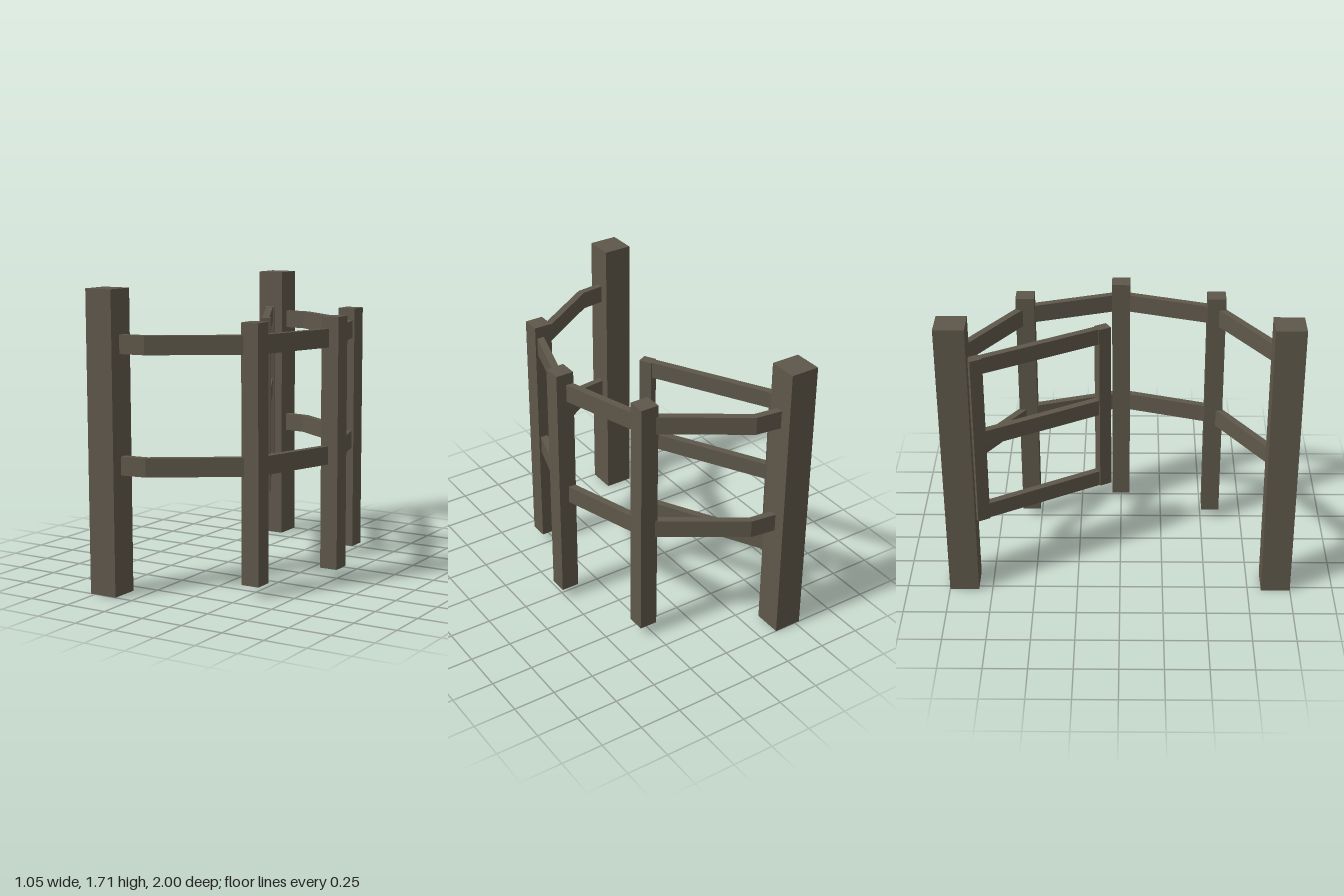
import * as THREE from 'three';

export function createModel() {
  const model = new THREE.Group();
  const wood = new THREE.MeshStandardMaterial({ color: 0x5e574a });
  wood.name = 'weatheredWood';

  const add = (parent, name, geometry, x = 0, y = 0, z = 0) => {
    const mesh = new THREE.Mesh(geometry, wood);
    mesh.name = name;
    mesh.position.set(x, y, z);
    parent.add(mesh);
    return mesh;
  };

  // Square post standing between two heights
  const post = (name, x, z, width, bottom, top) =>
    add(model, name, new THREE.BoxGeometry(width, top - bottom, width), x, (bottom + top) / 2, z);

  for (const side of [-1, 1]) {
    post(side > 0 ? 'frontMainPost' : 'backMainPost', -0.445, side * 0.915, 0.17, 0, 1.71);
    post(side > 0 ? 'frontFencePost' : 'backFencePost', 0.28, side * 0.56, 0.108, 0.065, 1.53);
  }
  post('middleFencePost', 0.47, 0, 0.108, 0.065, 1.53);

  // Bent rails: plan outline mitred at each bend, extruded upward
  const half = [[-0.37, 0.909], [-0.215, 0.89], [0.282, 0.562]];
  const path = [...half, [0.458, 0], ...half.map(([x, z]) => [x, -z]).reverse()]
    .map(([x, z]) => new THREE.Vector2(x, -z));
  const offsetPath = (distance) => path.map((p, i) => {
    const dirs = [];
    if (i > 0) dirs.push(p.clone().sub(path[i - 1]).normalize());
    if (i < path.length - 1) dirs.push(path[i + 1].clone().sub(p).normalize());
    const normals = dirs.map((d) => new THREE.Vector2(-d.y, d.x));
    const mitre = normals.reduce((a, n) => a.add(n), new THREE.Vector2()).normalize();
    return p.clone().addScaledVector(mitre, distance / mitre.dot(normals[0]));
  });
  const outline = new THREE.Shape([...offsetPath(-0.021), ...offsetPath(0.021).reverse()]);
  const railGeometry = new THREE.ExtrudeGeometry(outline, { depth: 0.106, bevelEnabled: false });
  railGeometry.rotateX(-Math.PI / 2);
  add(model, 'lowerFenceRail', railGeometry, 0, 0.68, 0);
  add(model, 'upperFenceRail', railGeometry, 0, 1.354, 0);

  // Swinging gate: local +z runs from the hinge to the free end
  const gate = new THREE.Group();
  gate.name = 'gate';
  gate.position.set(-0.451, 0, -0.832);
  gate.rotation.y = Math.atan2(0.485, 0.874);
  model.add(gate);
  const length = 0.872, stile = 0.075, bottom = 0.445, top = 1.49;
  const stileGeometry = new THREE.BoxGeometry(0.06, top - bottom, stile);
  add(gate, 'hingeStile', stileGeometry, 0, (bottom + top) / 2, stile / 2);
  add(gate, 'latchStile', stileGeometry, 0, (bottom + top) / 2, length - stile / 2);
  const barGeometry = new THREE.BoxGeometry(0.042, 0.096, length - 2 * stile);
  [['bottomGateRail', 0.493], ['middleGateRail', 0.978], ['topGateRail', 1.442]]
    .forEach(([name, y]) => add(gate, name, barGeometry, 0, y, length / 2));

  return model;
}
